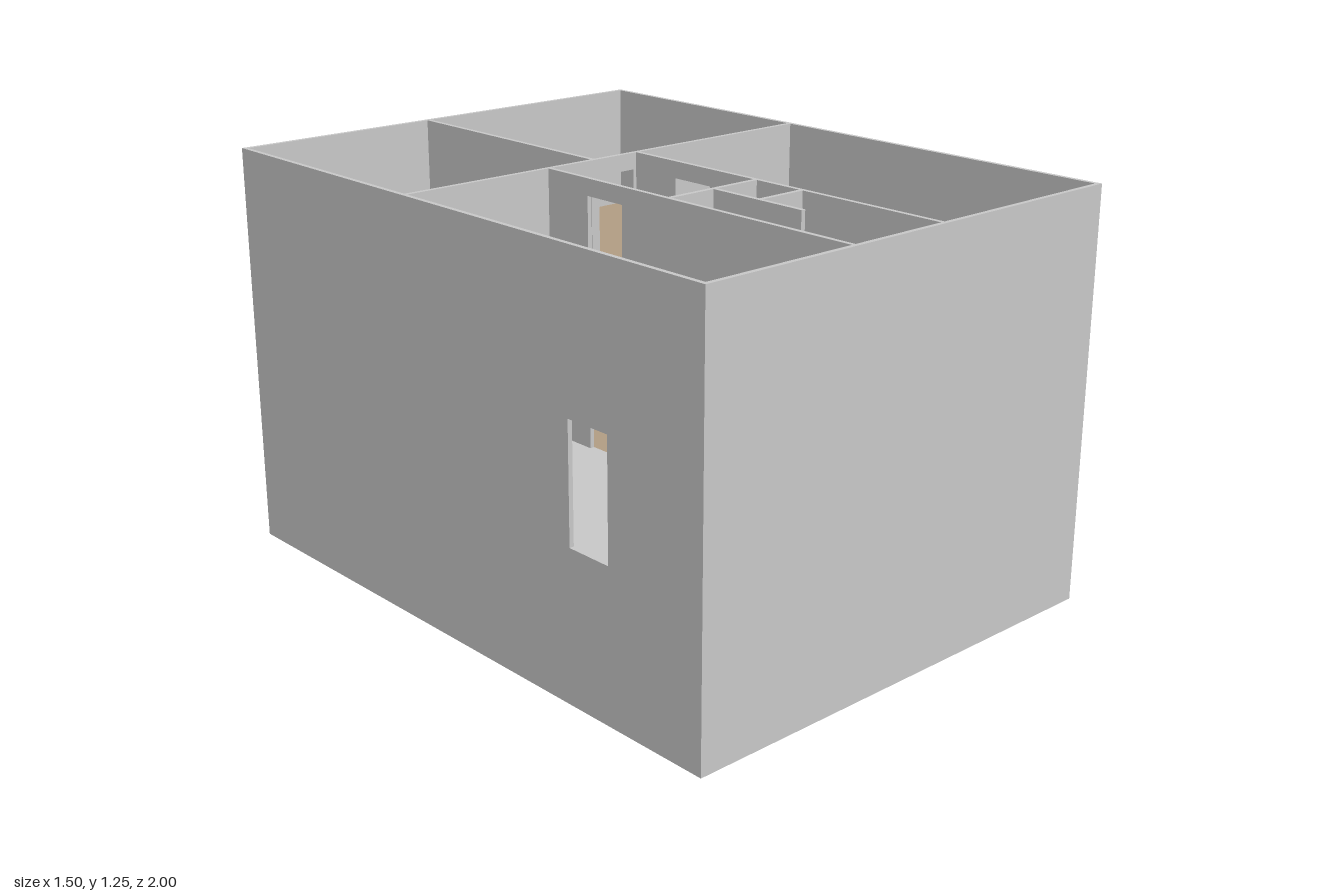
import * as THREE from 'three';

const T = 0.014;        // wall thickness
const STOREY = 0.4;
const DOOR_H = 0.35;
const SLAB = 0.03;
const IX = 0.75 - T, IZ = 1 - T; // inner faces of the outer walls

export function createModel() {
  const plaster = new THREE.MeshStandardMaterial({ color: 0xcbcbcb });
  plaster.name = 'grey plaster';
  const wood = new THREE.MeshStandardMaterial({ color: 0xb49f85 });
  wood.name = 'wood floor';

  const house = new THREE.Group();
  house.name = 'house';

  function add(parent, geometry, material, name) {
    const mesh = new THREE.Mesh(geometry, material);
    mesh.name = name;
    parent.add(mesh);
    return mesh;
  }

  function box(parent, name, x0, x1, y0, y1, z0, z1, material = plaster) {
    const g = new THREE.BoxGeometry(x1 - x0, y1 - y0, z1 - z0);
    g.translate((x0 + x1) / 2, (y0 + y1) / 2, (z0 + z1) / 2);
    return add(parent, g, material, name);
  }

  // Wall along 'x' or 'z' centred on `at`; doors are [from, to] notches in its foot
  function wall(parent, name, axis, from, to, at, y0, h, doors = [], hole = null) {
    const s = new THREE.Shape();
    s.moveTo(from, y0);
    for (const [a, b] of doors) {
      s.lineTo(a, y0);
      s.lineTo(a, y0 + DOOR_H);
      s.lineTo(b, y0 + DOOR_H);
      s.lineTo(b, y0);
    }
    s.lineTo(to, y0);
    s.lineTo(to, y0 + h);
    s.lineTo(from, y0 + h);
    s.closePath();
    if (hole) {
      const [a, b, c, d] = hole;
      const p = new THREE.Path();
      p.moveTo(a, c);
      p.lineTo(a, d);
      p.lineTo(b, d);
      p.lineTo(b, c);
      p.closePath();
      s.holes.push(p);
    }
    const g = new THREE.ExtrudeGeometry(s, { depth: T, bevelEnabled: false });
    g.translate(0, 0, -T / 2);
    if (axis === 'z') g.rotateY(-Math.PI / 2).translate(at, 0, 0);
    else g.translate(0, 0, at);
    return add(parent, g, plaster, name);
  }

  // Outer shell: side walls carry the middle-storey entrances
  const entrance = [0.51, 0.66, 0.45, 0.8];
  box(house, 'baseSlab', -IX, IX, 0, 0.05, -IZ, IZ);
  for (const s of [-1, 1]) {
    wall(house, s > 0 ? 'leftOuterWall' : 'rightOuterWall', 'z', -IZ, IZ, s * (0.75 - T / 2), 0, 1.25, [], entrance);
    wall(house, s > 0 ? 'frontOuterWall' : 'backOuterWall', 'x', -0.75, 0.75, s * (1 - T / 2), 0, 1.25);
  }

  // Partition centre lines
  const hallL = -0.245, hallR = 0.088, cross = -0.173, mid = -0.078, hallEnd = 0.328, closetEnd = 0.502;
  const h = T / 2;
  const rooms = [
    ['backRightRoomFloor', -IX, mid - h, -IZ, cross - h, wood],
    ['backLeftRoomFloor', mid + h, IX, -IZ, cross - h, wood],
    ['frontRightRoomFloor', -IX, hallL - h, cross + h, IZ, plaster],
    ['frontLeftRoomFloor', hallR + h, IX, cross + h, IZ, wood],
    ['hallFloor', hallL + h, hallR - h, cross + h, hallEnd - h, wood],
  ];

  for (let level = 0; level < 3; level++) {
    const y = 0.05 + STOREY * level;
    const top = level === 2;
    const storey = new THREE.Group();
    storey.name = ['groundStorey', 'middleStorey', 'topStorey'][level];
    house.add(storey);

    // Floors: finish on the upper face only, grey ceilings beneath
    const floors = rooms.slice();
    if (top) floors.push(['closetFloor', mid + h, hallR - h, hallEnd + h, closetEnd - h, wood]);
    for (const [name, x0, x1, z0, z1, finish] of floors) {
      const mats = [plaster, plaster, finish, plaster, plaster, plaster];
      const lift = level === 0 ? 0.002 : 0;
      box(storey, name, x0, x1, y - SLAB + lift, y + lift, z0, z1, finish === wood ? mats : plaster);
    }

    // Partitions with doorways
    const stairDoorL = [-0.23, -0.095], stairDoorR = [-0.06, 0.075];
    const openings = top ? [stairDoorL] : level === 1 ? [stairDoorL, stairDoorR] : [stairDoorR];
    wall(storey, 'crossWall', 'x', -IX, IX, cross, y, STOREY, [[-0.23, -0.092], [-0.063, 0.07]]);
    wall(storey, 'backRoomsWall', 'z', -IZ, cross - h, mid, y, STOREY);
    wall(storey, 'hallRightWall', 'z', cross + h, IZ, hallL, y, STOREY, [[0.005, 0.15]]);
    wall(storey, 'hallLeftWall', 'z', cross + h, IZ, hallR, y, STOREY,
      top ? [[0.005, 0.15], [0.35, 0.495]] : [[0.005, 0.15]]);
    wall(storey, 'hallEndWall', 'x', hallL + h, hallR - h, hallEnd, y, STOREY, openings);
    wall(storey, 'stairDivider', 'z', hallEnd + h, 0.662, mid, y, STOREY);
    if (top) wall(storey, 'closetFrontWall', 'x', mid + h, hallR - h, closetEnd, y - SLAB, STOREY + SLAB);

    // U-shaped stair leading down to the storey below
    if (level > 0) {
      const stair = new THREE.Group();
      stair.name = 'stair';
      storey.add(stair);
      const rise = 0.2 / 7, z0 = hallEnd + h, run = (0.662 - z0) / 6;
      for (let i = 0; i < 6; i++) {
        const upper = y - rise * (i + 1), lower = upper - 0.2;
        box(stair, 'upperStep', hallL + h, mid - h, upper - 0.05, upper, z0 + run * i, z0 + run * (i + 1));
        box(stair, 'lowerStep', mid + h, hallR - h, Math.max(lower - 0.05, y - STOREY), lower,
          0.662 - run * (i + 1), 0.662 - run * i);
      }
      box(stair, 'landing', hallL + h, hallR - h, y - 0.24, y - 0.2, 0.662, IZ);
    }
  }
  return house;
}
